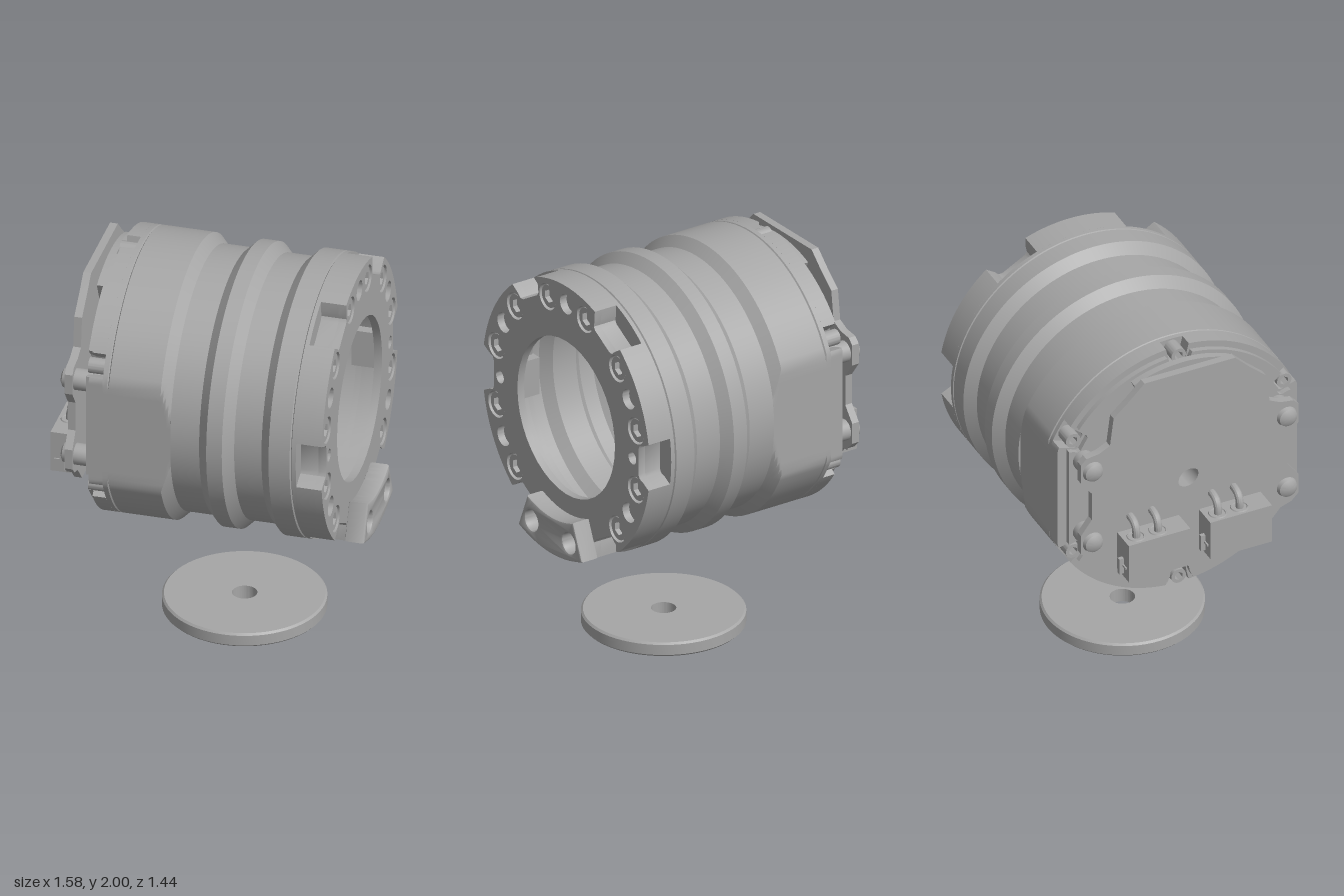
import * as THREE from 'three';
import { toCreasedNormals } from 'three/addons/utils/BufferGeometryUtils.js';

const metal = new THREE.MeshStandardMaterial({ color: 0xa6a6a6 });
metal.name = 'machinedGrey';
const rad = THREE.MathUtils.degToRad;
const FLAT = 0.66; // half distance between the two side flats

export function createModel() {
  const model = new THREE.Group();
  const housing = new THREE.Group(); // its axis runs along x
  housing.name = 'housing';
  housing.position.y = 1.28;
  model.add(housing);

  const add = (name, geo, parent = housing) => {
    const mesh = new THREE.Mesh(toCreasedNormals(geo, 0.5), metal);
    mesh.name = name;
    parent.add(mesh);
    return mesh;
  };
  // Solid of revolution about x from [x, radius] pairs
  const turn = (pts, seg = 120) =>
    new THREE.LatheGeometry(pts.map(([x, r]) => new THREE.Vector2(r, x)), seg).rotateZ(-Math.PI / 2);
  // Shape drawn in (-z, y), extruded from x0 to x1
  const slab = (shape, x0, x1, bevel = 0) =>
    new THREE.ExtrudeGeometry(shape, {
      depth: x1 - x0 - 2 * bevel, curveSegments: 20, bevelEnabled: bevel > 0,
      bevelSize: bevel, bevelThickness: bevel, bevelOffset: -bevel, bevelSegments: 2,
    }).rotateY(Math.PI / 2).translate(x0 + bevel, 0, 0);
  const rod = (x0, x1, r0, r1, y, z, seg = 24) =>
    new THREE.CylinderGeometry(r1, r0, x1 - x0, seg).rotateZ(-Math.PI / 2).translate((x0 + x1) / 2, y, z);
  const box = (x0, x1, y0, y1, z0, z1) =>
    new THREE.BoxGeometry(x1 - x0, y1 - y0, z1 - z0).translate((x0 + x1) / 2, (y0 + y1) / 2, (z0 + z1) / 2);
  const polar = (r, deg) => [r * Math.cos(rad(deg)), r * Math.sin(rad(deg))];
  const drill = (shape, x, y, r) => {
    shape.holes.push(new THREE.Path().absarc(x, y, r, 0, Math.PI * 2, true));
    return shape;
  };
  // Cut geometry flat at both sides
  const clampZ = (geo, limit, xMax = 9) => {
    const p = geo.attributes.position;
    for (let i = 0; i < p.count; i++) {
      if (p.getX(i) < xMax) p.setZ(i, THREE.MathUtils.clamp(p.getZ(i), -limit, limit));
    }
    return geo;
  };
  // Disc outline with six flared notches of bottom radius rn and half width hw
  const notchedDisc = (R, first, rn, hw) => {
    const s = new THREE.Shape();
    const open = Math.asin((hw * 1.25) / R);
    for (let k = 0; k < 6; k++) {
      const a = rad(first + k * 60);
      const profile = [[rn + 0.04, -hw], [rn + 0.01, -hw * 0.9], [rn, -hw * 0.7],
        [rn, hw * 0.7], [rn + 0.01, hw * 0.9], [rn + 0.04, hw]];
      const edge = [R * Math.cos(a - open), R * Math.sin(a - open)];
      if (k === 0) s.moveTo(...edge);
      profile.forEach(([u, v]) =>
        s.lineTo(u * Math.cos(a) - v * Math.sin(a), u * Math.sin(a) + v * Math.cos(a)));
      s.absarc(0, 0, R, a + open, a + Math.PI / 3 - open, false);
    }
    return s;
  };
  const sector = (r0, r1, mid, half) => {
    const s = new THREE.Shape();
    s.absarc(0, 0, r1, rad(mid - half), rad(mid + half), false);
    s.absarc(0, 0, r0, rad(mid + half), rad(mid - half), true);
    s.closePath();
    return s;
  };

  // Hollow ribbed barrel, flattened at the sides of its rear part
  add('barrel', clampZ(turn([
    [-0.45, 0.60], [-0.45, 0.72], [-0.425, 0.72], [-0.42, 0.713], [-0.415, 0.72],
    [-0.15, 0.72], [-0.137, 0.707], [-0.125, 0.695], [-0.112, 0.682], [-0.10, 0.67], [-0.098, 0.67],
    [0.05, 0.67], [0.10, 0.72], [0.18, 0.72], [0.23, 0.67], [0.37, 0.67], [0.42, 0.72],
    [0.528, 0.72], [0.533, 0.712], [0.538, 0.72], [0.56, 0.72],
    [0.56, 0.53], [0.53, 0.53], [0.53, 0.62], [0.42, 0.62], [0.37, 0.57], [0.23, 0.57],
    [0.18, 0.62], [0.10, 0.62], [0.05, 0.57], [-0.10, 0.57], [-0.15, 0.60], [-0.45, 0.60],
  ]), FLAT, -0.099));

  // Rear end: notched band and cover, both open at the axis
  add('rearBand', clampZ(slab(drill(notchedDisc(0.72, 30, 0.625, 0.05), 0, 0, 0.065), -0.52, -0.45), FLAT));
  add('rearCover', clampZ(slab(drill(notchedDisc(0.685, 30, 0.61, 0.055), 0, 0, 0.065), -0.548, -0.52), 0.61));
  add('rearRib', slab(sector(0.4, 0.665, 90, 24), -0.585, -0.548));
  add('axleBush', turn([[-0.63, 0.062], [-0.63, 0.085], [-0.44, 0.085], [-0.43, 0.1],
    [-0.40, 0.1], [-0.40, 0.062], [-0.63, 0.062]], 40));

  // Socket screw: a ring with a hexagonal recess
  const socketScrew = (name, x0, x1, r, deg, ring, faceX) => {
    const s = new THREE.Shape().absarc(0, 0, r, 0, Math.PI * 2, false);
    const hex = new THREE.Path();
    for (let i = 0; i < 6; i++) {
      const p = polar(r * 0.6, 30 - i * 60);
      i ? hex.lineTo(...p) : hex.moveTo(...p);
    }
    hex.closePath();
    s.holes.push(hex);
    const [u, v] = polar(ring, deg);
    add(name, slab(s, x0, x1).translate(0, v, -u));
    const floor = faceX > 0 ? [x0, x0 + 0.006] : [x1 - 0.006, x1];
    add(name + 'Floor', rod(...floor, r * 0.65, r * 0.65, v, -u, 6));
  };
  for (let k = 0; k < 6; k++) socketScrew('rearScrew', -0.535, -0.45, 0.04, 30 + k * 60, 0.672, -1);

  // Front flange: deep ring behind a drilled face plate
  add('flangeRing', slab(drill(notchedDisc(0.72, 0, 0.622, 0.1), 0, 0, 0.53), 0.56, 0.65));
  const face = drill(notchedDisc(0.72, 0, 0.622, 0.1), 0, 0, 0.42);
  for (let a = 15; a < 360; a += 30) {
    drill(face, ...polar(0.622, a), 0.07);
    if (a !== 255 && a !== 285) socketScrew('flangeScrew', 0.65, 0.682, 0.06, a, 0.622, 1);
  }
  for (const a of [30, 90, 150, 210, 330]) drill(face, ...polar(0.622, a), 0.053);
  for (const a of [0, 180]) drill(face, ...polar(0.57, a), 0.033);
  add('flangeFace', slab(face, 0.65, 0.69));
  for (const side of [-1, 1]) {
    const [z0, z1] = side > 0 ? [0.47, 0.56] : [-0.56, -0.47];
    add('notchBackWall', box(0.52, 0.65, -0.1, 0.1, z0, z1));
  }

  // Raised foot at the bottom of the flange, with two bolt holes
  const foot = sector(0.515, 0.718, 270, 22.5);
  for (const a of [255, 285]) {
    drill(foot, ...polar(0.622, a), 0.055);
    socketScrew('footScrew', 0.65, 0.68, 0.055, a, 0.622, 1);
  }
  add('flangeFoot', slab(foot, 0.688, 0.79, 0.012));

  // Circuit board with a stepped, mirrored outline
  const half = [[0.25, 0.66], [0.33, 0.58], [0.42, 0.5], [0.44, 0.34], [0.5, 0.31], [0.57, 0.3], [0.6, 0.27],
    [0.6, 0.16], [0.57, 0.12], [0.54, 0.08], [0.54, -0.08], [0.57, -0.12], [0.6, -0.16],
    [0.6, -0.27], [0.56, -0.31], [0.5, -0.33], [0.42, -0.42]];
  const outline = [...half, ...half.map(([u, v]) => [-u, v]).reverse()];
  const board = drill(new THREE.Shape(outline.map(([u, v]) => new THREE.Vector2(u, v))), 0, 0, 0.062);
  add('circuitBoard', slab(board, -0.66, -0.62));

  // Board standoffs and round-headed screws
  for (const z of [-0.535, 0.535]) {
    for (const y of [-0.215, 0.215]) {
      add('standoff', rod(-0.62, -0.54, 0.055, 0.055, y, z));
      add('boardScrew', turn([[-0.692, 0], [-0.69, 0.03], [-0.68, 0.048], [-0.66, 0.055], [-0.655, 0]], 24)
        .translate(0, y, z));
    }
  }

  // Two cable plugs with bent pins
  for (const zc of [-0.23, 0.22]) {
    const plug = new THREE.Group();
    plug.name = 'cablePlug';
    plug.position.z = zc;
    housing.add(plug);
    add('plugBody', box(-0.79, -0.66, -0.42, -0.2, -0.17, 0.17), plug);
    add('plugLatch', box(-0.735, -0.715, -0.4, -0.31, -0.195, 0.195), plug);
    add('plugRib', box(-0.77, -0.68, -0.355, -0.345, -0.178, 0.178), plug);
    for (const z of [-0.1, 0.02]) {
      const path = new THREE.CatmullRomCurve3([[-0.73, -0.22], [-0.73, -0.165], [-0.715, -0.135],
        [-0.685, -0.122], [-0.62, -0.12]].map(([x, y]) => new THREE.Vector3(x, y, z)));
      add('plugPin', new THREE.TubeGeometry(path, 16, 0.02, 12), plug);
      add('pinCollar', new THREE.TorusGeometry(0.042, 0.006, 6, 24)
        .rotateX(Math.PI / 2).translate(-0.73, -0.2, z), plug);
    }
  }

  // Separate washer disc lying below the housing
  const washer = [[0.063, 0], [0.4, 0], [0.41, 0.01], [0.41, 0.065], [0.4, 0.075], [0.063, 0.075], [0.063, 0]];
  add('looseDisc', new THREE.LatheGeometry(washer.map((p) => new THREE.Vector2(...p)), 72), model)
    .position.x = 0.1;

  return model;
}
